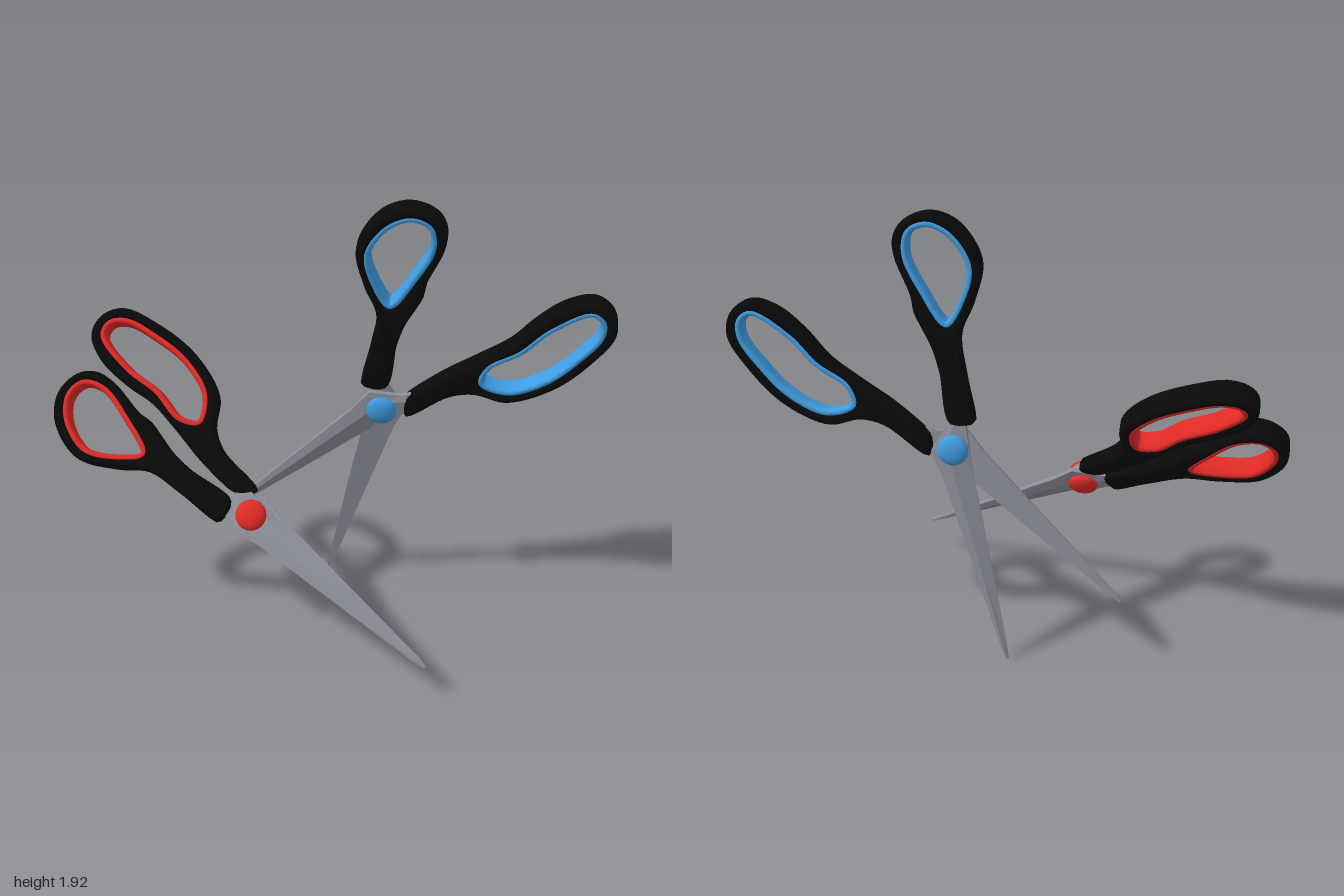
import * as THREE from 'three';
import { toCreasedNormals } from 'three/addons/utils/BufferGeometryUtils.js';

const mat = (color, extra = {}) => new THREE.MeshStandardMaterial({ color, ...extra });
const black = mat(0x090909);
const steel = mat(0x8c8f9a, { flatShading: true });

function mesh(name, geometry, material) {
  const m = new THREE.Mesh(geometry, material);
  m.name = name;
  return m;
}

// Smooth closed outline through a few points
function outline(points, n = 90) {
  const curve = new THREE.CatmullRomCurve3(points.map(([x, y]) => new THREE.Vector3(x, y, 0)), true);
  return curve.getSpacedPoints(n).slice(0, n).map(p => new THREE.Vector2(p.x, p.y));
}

// Moves a counter-clockwise outline outward by d (inward if negative)
function offset(pts, d) {
  const n = pts.length;
  return pts.map((p, i) => {
    const a = pts[(i + n - 1) % n], b = pts[(i + 1) % n];
    const t = b.clone().sub(a).normalize();
    return new THREE.Vector2(p.x + t.y * d, p.y - t.x * d);
  });
}

// Rounded plate with a hole, thinner toward the pivot
function plate(outer, hole, thickness, bevel) {
  const shape = new THREE.Shape(outer);
  shape.holes.push(new THREE.Path(hole));
  const bt = thickness * 0.32;
  const geo = new THREE.ExtrudeGeometry(shape, {
    depth: thickness - 2 * bt, bevelThickness: bt, bevelSize: bevel,
    bevelOffset: -bevel, bevelSegments: 6, curveSegments: 1,
  });
  geo.translate(0, 0, -(thickness - 2 * bt) / 2);
  const p = geo.attributes.position;
  for (let i = 0; i < p.count; i++) {
    const k = THREE.MathUtils.smoothstep(p.getY(i), 0.05, 0.55);
    p.setZ(i, p.getZ(i) * (0.64 + 0.36 * k));
  }
  return toCreasedNormals(geo, 0.7);
}

// Handle outlines, pivot at the origin and blade pointing down
const thumb = {
  outer: outline([[-0.012, 0.11], [-0.024, 0.34], [-0.018, 0.45], [0.005, 0.55], [0.018, 0.61], [0.014, 0.68],
    [0.04, 0.85], [0.028, 0.93], [-0.02, 0.985], [-0.09, 1.006], [-0.17, 0.995], [-0.26, 0.92], [-0.31, 0.75],
    [-0.235, 0.59], [-0.15, 0.47], [-0.13, 0.3], [-0.12, 0.1], [-0.11, 0.09]]),
  seam: outline([[-0.105, 0.525], [-0.035, 0.69], [-0.002, 0.85], [-0.035, 0.94], [-0.09, 0.963],
    [-0.15, 0.952], [-0.225, 0.88], [-0.265, 0.74], [-0.2, 0.61]]),
};
const finger = {
  outer: outline([[0.095, 0.055], [0.13, 0.28], [0.18, 0.37], [0.295, 0.455], [0.365, 0.66], [0.357, 0.87],
    [0.312, 1.03], [0.225, 1.083], [0.13, 1.06], [0.075, 0.95], [0.066, 0.8], [0.08, 0.65], [0.06, 0.49],
    [0.03, 0.31], [0.022, 0.12], [0.03, 0.1]]),
  seam: outline([[0.15, 0.43], [0.26, 0.49], [0.318, 0.655], [0.313, 0.834], [0.282, 0.98], [0.225, 1.035],
    [0.16, 1.02], [0.118, 0.835], [0.126, 0.666], [0.103, 0.51]]),
};

// Blade from cross-sections: height, spine side, cutting side, thickness, edge thickness
function bladeGeometry() {
  const rows = [
    [-0.968, -0.006, 0.004, 0.007, 0.004],
    [-0.92, -0.015, 0.01, 0.015, 0.004],
    [-0.45, -0.05, 0.038, 0.025, 0.005],
    [-0.1, -0.077, 0.055, 0.031, 0.008],
    [0.015, -0.098, 0.07, 0.032, 0.028],
    [0.11, 0.0, 0.08, 0.03, 0.028],
    [0.18, 0.035, 0.08, 0.03, 0.028],
  ];
  const pos = [], index = [], n = 5;
  for (const [y, l, r, h, e] of rows) {
    const ridge = THREE.MathUtils.lerp(l, r, 0.4);
    for (const [x, z] of [[l, 0], [r, 0], [r, e], [ridge, h], [l, h * 0.65]]) pos.push(x, y, z + 0.001);
  }
  for (let i = 0; i < rows.length - 1; i++) {
    for (let j = 0; j < n; j++) {
      const a = i * n + j, b = i * n + (j + 1) % n;
      index.push(a, a + n, b + n, a, b + n, b);
    }
  }
  const top = (rows.length - 1) * n;
  for (let j = 1; j < n - 1; j++) index.push(0, j, j + 1, top, top + j + 1, top + j);
  const geo = new THREE.BufferGeometry();
  geo.setAttribute('position', new THREE.Float32BufferAttribute(pos, 3));
  geo.setIndex(index);
  const flat = geo.toNonIndexed();
  flat.computeVertexNormals();
  return flat;
}

// One half: handle, coloured lining, blade and pivot knob; side is +1 (front) or -1 (back)
function half(name, { outer, seam }, side, accent) {
  const g = new THREE.Group();
  g.name = name;
  g.add(mesh('handle', plate(outer, seam, 0.112, 0.018), black));
  g.add(mesh('handleLining', plate(offset(seam, 0.012), offset(seam, -0.02), 0.098, 0.012), accent));
  const blade = mesh('blade', bladeGeometry(), steel);
  if (side < 0) blade.rotation.y = Math.PI;
  g.add(blade);
  const knob = mesh('pivotKnob', new THREE.SphereGeometry(0.066, 32, 20), accent);
  knob.scale.z = 0.5;
  knob.position.z = side * 0.034;
  g.add(knob);
  return g;
}

// A pair of scissors placed by its up direction and the normal of its plane
function scissors(name, color, position, up, normal, thumbAngle, fingerAngle) {
  const g = new THREE.Group();
  g.name = name;
  const accent = mat(color);
  const back = half('thumbHalf', thumb, -1, accent);
  const front = half('fingerHalf', finger, 1, accent);
  back.rotation.z = thumbAngle;
  front.rotation.z = fingerAngle;
  g.add(back, front);
  const n = new THREE.Vector3(...normal).normalize();
  const u = new THREE.Vector3(...up).cross(n).normalize();
  const v = n.clone().cross(u);
  g.quaternion.setFromRotationMatrix(new THREE.Matrix4().makeBasis(u, v, n));
  g.position.set(...position);
  return g;
}

export function createModel() {
  const model = new THREE.Group();
  model.name = 'scissorsSet';
  model.add(
    scissors('openScissors', 0x3f9be0, [0.26, 0.93, 0.015], [0, 1, 0], [-0.626, -0.153, 0.764], -0.264, -0.854),
    scissors('closedScissors', 0xe02a26, [-0.425, 0.609, 0.054], [-0.377, 0.473, -0.796], [-0.535, 0.591, 0.604], 0, 0),
  );
  return model;
}
